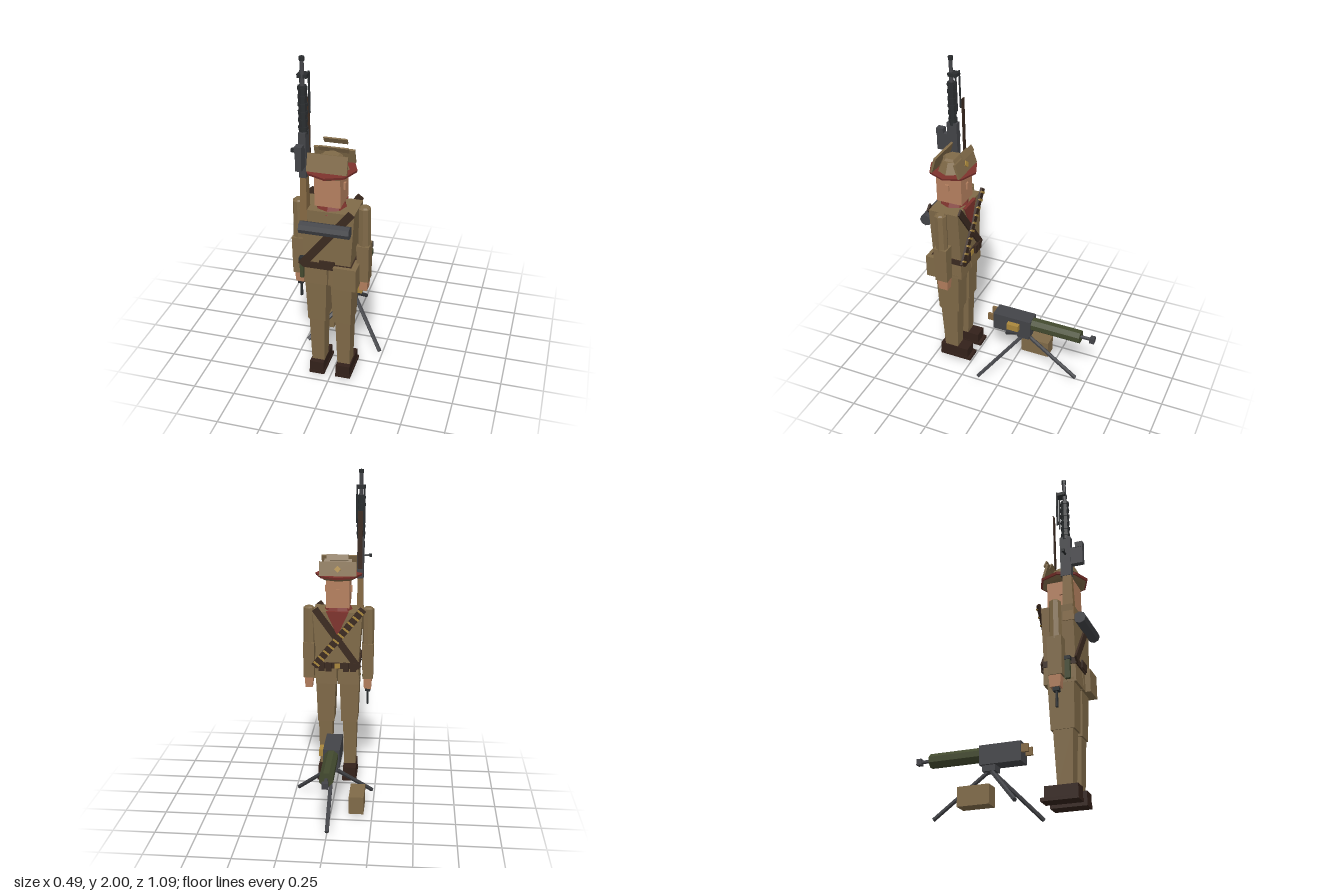
import * as THREE from 'three';

const mat = (name, color) => Object.assign(new THREE.MeshStandardMaterial({ color }), { name });
const M = {
  khaki: mat('khaki cloth', 0x806a48),
  leather: mat('dark leather', 0x3b2a20),
  boot: mat('boot brown', 0x33211a),
  skin: mat('skin', 0xb5805f),
  red: mat('red cloth', 0x7e332d),
  metal: mat('gunmetal', 0x434448),
  dark: mat('dark steel', 0x2a2d2f),
  olive: mat('olive paint', 0x434a2f),
  brass: mat('brass', 0xa9873c),
  wood: mat('wood', 0x846842),
};

// Faceted normals for every part
function flat(geo) {
  const g = geo.index ? geo.toNonIndexed() : geo;
  g.computeVertexNormals();
  return g;
}
function add(parent, name, geo, material, pos = [0, 0, 0], rot = [0, 0, 0]) {
  const m = new THREE.Mesh(flat(geo), material);
  m.name = name;
  m.position.set(...pos);
  m.rotation.set(...rot);
  parent.add(m);
  return m;
}
// Box given by its limits on each axis
function block(parent, name, material, [x0, x1], [y0, y1], [z0, z1]) {
  return add(parent, name, new THREE.BoxGeometry(x1 - x0, y1 - y0, z1 - z0), material,
    [(x0 + x1) / 2, (y0 + y1) / 2, (z0 + z1) / 2]);
}
// Box whose top and bottom differ in size
function taper(wTop, dTop, wBot, dBot, h) {
  const g = new THREE.BoxGeometry(1, h, 1), p = g.attributes.position;
  for (let i = 0; i < p.count; i++) {
    const top = p.getY(i) > 0;
    p.setX(i, p.getX(i) * (top ? wTop : wBot));
    p.setZ(i, p.getZ(i) * (top ? dTop : dBot));
  }
  return g;
}
const cyl = (rt, rb, h, n = 8) => new THREE.CylinderGeometry(rt, rb, h, n);
// Round bar between two points
function bar(parent, name, material, a, b, r, n = 6) {
  const A = new THREE.Vector3(...a), B = new THREE.Vector3(...b), d = B.clone().sub(A);
  const m = add(parent, name, cyl(r, r, d.length(), n), material);
  m.position.copy(A).add(B).multiplyScalar(0.5);
  m.quaternion.setFromUnitVectors(new THREE.Vector3(0, 1, 0), d.normalize());
  return m;
}
// Flat strap between two points of a plane of constant z
function strap(parent, name, [xa, ya], [xb, yb], z, w, t) {
  const dx = xb - xa, dy = yb - ya;
  return add(parent, name, new THREE.BoxGeometry(w, Math.hypot(dx, dy), t), M.leather,
    [(xa + xb) / 2, (ya + yb) / 2, z], [0, 0, -Math.atan2(dx, dy)]);
}
function group(parent, name) {
  const g = new THREE.Group();
  g.name = name;
  parent.add(g);
  return g;
}

function buildBody(root) {
  const g = group(root, 'soldier');
  add(g, 'torso', taper(0.31, 0.19, 0.26, 0.185, 0.36), M.khaki, [0, 0.96, 0.38]);
  for (const s of [-1, 1]) {
    const side = s > 0 ? 'left' : 'right';
    // Legs and boots
    add(g, side + 'JacketSkirt', taper(0.125, 0.185, 0.135, 0.19, 0.15), M.khaki, [s * 0.07, 0.745, 0.38]);
    add(g, side + 'Thigh', taper(0.125, 0.155, 0.105, 0.135, 0.29), M.khaki, [s * 0.075, 0.55, 0.385]);
    add(g, side + 'Shin', taper(0.09, 0.115, 0.075, 0.085, 0.33), M.khaki, [s * 0.078, 0.25, 0.386]);
    block(g, side + 'Boot', M.boot, [s * 0.08 - 0.042, s * 0.08 + 0.042], [0.035, 0.1], [0.27, 0.46]);
    block(g, side + 'Sole', M.boot, [s * 0.08 - 0.046, s * 0.08 + 0.046], [0.018, 0.038], [0.25, 0.462]);
    // Arms and hands
    add(g, side + 'UpperArm', cyl(0.036, 0.038, 0.24), M.khaki, [s * 0.188, 1.025, 0.38]);
    add(g, side + 'Shoulder', cyl(0.025, 0.036, 0.015), M.khaki, [s * 0.188, 1.147, 0.38]);
    add(g, side + 'Sleeve', taper(0.072, 0.085, 0.066, 0.08, 0.23), M.khaki, [s * 0.188, 0.805, 0.38]);
    add(g, side + 'Hand', taper(0.055, 0.07, 0.045, 0.06, 0.075), M.skin, [s * 0.188, 0.66, 0.375]);
    block(g, side + 'Ear', M.skin, [s * 0.079 - 0.006, s * 0.079 + 0.006], [1.25, 1.29], [0.375, 0.397]);
  }
  // Head and neckerchief
  block(g, 'head', M.skin, [-0.073, 0.073], [1.165, 1.35], [0.298, 0.46]);
  block(g, 'nose', M.skin, [-0.011, 0.011], [1.245, 1.285], [0.288, 0.3]);
  add(g, 'neck', cyl(0.05, 0.05, 0.06), M.skin, [0, 1.15, 0.38]);
  add(g, 'neckerchief', cyl(0.075, 0.098, 0.045), M.red, [0, 1.142, 0.38]);
  const v = new THREE.Shape([[-0.07, 1.145], [0, 0.99], [0.07, 1.145]].map(p => new THREE.Vector2(...p)));
  add(g, 'neckerchiefPoint', new THREE.ExtrudeGeometry(v, { depth: 0.02, bevelEnabled: false }), M.red, [0, 0, 0.274]);
}

function buildHat(root) {
  const g = group(root, 'hat');
  add(g, 'brim', cyl(0.147, 0.143, 0.014), M.red, [0, 1.362, 0.38]);
  add(g, 'brimUnderside', cyl(0.135, 0.115, 0.014), M.khaki, [0, 1.347, 0.38]);
  add(g, 'crown', cyl(0.07, 0.105, 0.065, 8), M.khaki, [0, 1.4, 0.38]).scale.z = 0.85;
  add(g, 'crownTop', cyl(0.05, 0.065, 0.015, 6), M.khaki, [0, 1.438, 0.38]);
  // Turned-up flaps front and back, with small strips above
  add(g, 'frontFlap', new THREE.BoxGeometry(0.23, 0.09, 0.014), M.khaki, [0, 1.41, 0.303], [0.3, 0, 0]);
  add(g, 'backFlap', new THREE.BoxGeometry(0.225, 0.1, 0.014), M.khaki, [0, 1.42, 0.455], [-0.3, 0, 0]);
  add(g, 'frontStrip', new THREE.BoxGeometry(0.135, 0.036, 0.009), M.khaki, [0, 1.486, 0.288], [0.5, 0, 0]);
  add(g, 'middleStrip', new THREE.BoxGeometry(0.17, 0.035, 0.009), M.khaki, [0, 1.45, 0.325], [0.5, 0, 0]);
  add(g, 'badge', new THREE.BoxGeometry(0.03, 0.03, 0.008), M.brass, [0, 1.41, 0.294], [0.3, 0, Math.PI / 4]);
}

function buildKit(root) {
  const g = group(root, 'kit');
  strap(g, 'backStrap', [-0.15, 0.79], [0.14, 1.15], 0.483, 0.045, 0.012);
  strap(g, 'chestStrap', [-0.135, 0.78], [0.14, 1.16], 0.28, 0.042, 0.012);
  strap(g, 'bandolier', [0.145, 0.79], [-0.16, 1.165], 0.271, 0.045, 0.014);
  // Cartridges along the bandolier
  for (let i = 0; i < 10; i++) {
    const t = (i + 0.5) / 10;
    add(g, 'cartridge', new THREE.BoxGeometry(0.045, 0.012, 0.012), M.brass,
      [0.145 - 0.305 * t, 0.79 + 0.375 * t, 0.265], [0, 0, 0.683]);
  }
  // Belt with pouches
  block(g, 'belt', M.leather, [-0.14, 0.14], [0.775, 0.812], [0.278, 0.482]);
  block(g, 'beltKeeper', M.leather, [-0.045, 0.045], [0.785, 0.832], [0.478, 0.488]);
  block(g, 'buckle', M.brass, [-0.018, 0.018], [0.778, 0.81], [0.272, 0.279]);
  for (const x of [-0.1, -0.055, 0.055, 0.1])
    block(g, 'beltPouch', M.leather, [x - 0.018, x + 0.018], [0.76, 0.815], [0.266, 0.282]);
  block(g, 'haversack', M.khaki, [0.04, 0.172], [0.67, 0.81], [0.39, 0.505]);
  add(g, 'bedroll', cyl(0.036, 0.036, 0.285), M.metal, [-0.002, 1.05, 0.51], [0, 0, Math.PI / 2]);
  // Sheath and side arm at the right hip
  block(g, 'sheath', M.olive, [-0.172, -0.15], [0.68, 0.8], [0.42, 0.45]);
  block(g, 'sheathCap', M.dark, [-0.176, -0.146], [0.79, 0.812], [0.416, 0.454]);
  block(g, 'sidearmGrip', M.dark, [-0.205, -0.172], [0.6, 0.635], [0.36, 0.395]);
  bar(g, 'sidearmBarrel', M.dark, [-0.188, 0.51, 0.377], [-0.188, 0.61, 0.377], 0.008);
}

function buildSlungGun(root) {
  const g = group(root, 'slungGun');
  const x = -0.132, z = 0.44;
  add(g, 'stock', taper(0.034, 0.05, 0.042, 0.07, 0.3), M.wood, [x, 1.19, z + 0.005]);
  block(g, 'receiver', M.metal, [x - 0.02, x + 0.02], [1.33, 1.59], [0.408, 0.472]);
  block(g, 'magazine', M.metal, [x - 0.017, x + 0.017], [1.4, 1.51], [0.47, 0.543]);
  block(g, 'magazineLip', M.metal, [x - 0.02, x + 0.02], [1.505, 1.54], [0.5, 0.545]);
  bar(g, 'boltHandle', M.dark, [x, 1.472, z], [-0.195, 1.472, z], 0.007);
  block(g, 'boltKnob', M.dark, [-0.203, -0.187], [1.463, 1.482], [z - 0.009, z + 0.009]);
  add(g, 'barrelJacket', cyl(0.024, 0.024, 0.27), M.dark, [x, 1.71, z]);
  for (let i = 0; i < 6; i++)
    add(g, 'coolingRing', cyl(0.028, 0.028, 0.016), M.dark, [x, 1.61 + i * 0.044, z]);
  add(g, 'barrel', cyl(0.011, 0.013, 0.16), M.metal, [x, 1.91, z]);
  add(g, 'muzzle', cyl(0.015, 0.015, 0.022), M.dark, [x, 1.989, z]);
  // Folded bipod
  block(g, 'bipodCollar', M.dark, [x - 0.027, x + 0.027], [1.885, 1.905], [0.395, 0.45]);
  for (const s of [-1, 1])
    bar(g, 'bipodLeg', M.dark, [x + s * 0.023, 1.91, 0.4], [x + s * 0.023, 1.68, 0.398], 0.006);
  block(g, 'sling', M.leather, [x - 0.015, x + 0.015], [1.4, 1.755], [0.368, 0.373]);
}

function buildMountedGun(root) {
  const g = group(root, 'mountedGun');
  block(g, 'receiver', M.metal, [-0.05, 0.05], [0.285, 0.4], [-0.135, 0.115]);
  add(g, 'waterJacket', cyl(0.043, 0.043, 0.32), M.olive, [0, 0.358, -0.295], [Math.PI / 2, Math.PI / 8, 0]);
  bar(g, 'barrel', M.metal, [0, 0.36, -0.45], [0, 0.36, -0.52], 0.011);
  block(g, 'muzzle', M.metal, [-0.018, 0.018], [0.342, 0.378], [-0.545, -0.515]);
  block(g, 'feedBlock', M.brass, [0.05, 0.081], [0.328, 0.37], [-0.065, 0.012]);
  for (const s of [-1, 1])
    block(g, 'grip', M.wood, [s * 0.035 - 0.008, s * 0.035 + 0.008], [0.335, 0.382], [0.115, 0.155]);
  // Tripod
  block(g, 'mount', M.metal, [-0.035, 0.035], [0.25, 0.286], [-0.122, -0.043]);
  for (const foot of [[-0.233, 0.012, 0.147], [0.233, 0.012, 0.147], [0, 0.012, -0.43]])
    bar(g, 'tripodLeg', M.metal, [0, 0.265, -0.085], foot, 0.013);
  block(root, 'ammunitionBox', M.khaki, [-0.2, -0.11], [0.015, 0.125], [-0.198, -0.012]);
}

export function createModel() {
  const root = new THREE.Group();
  root.name = 'soldierWithGuns';
  [buildBody, buildHat, buildKit, buildSlungGun, buildMountedGun].forEach(f => f(root));
  return root;
}
